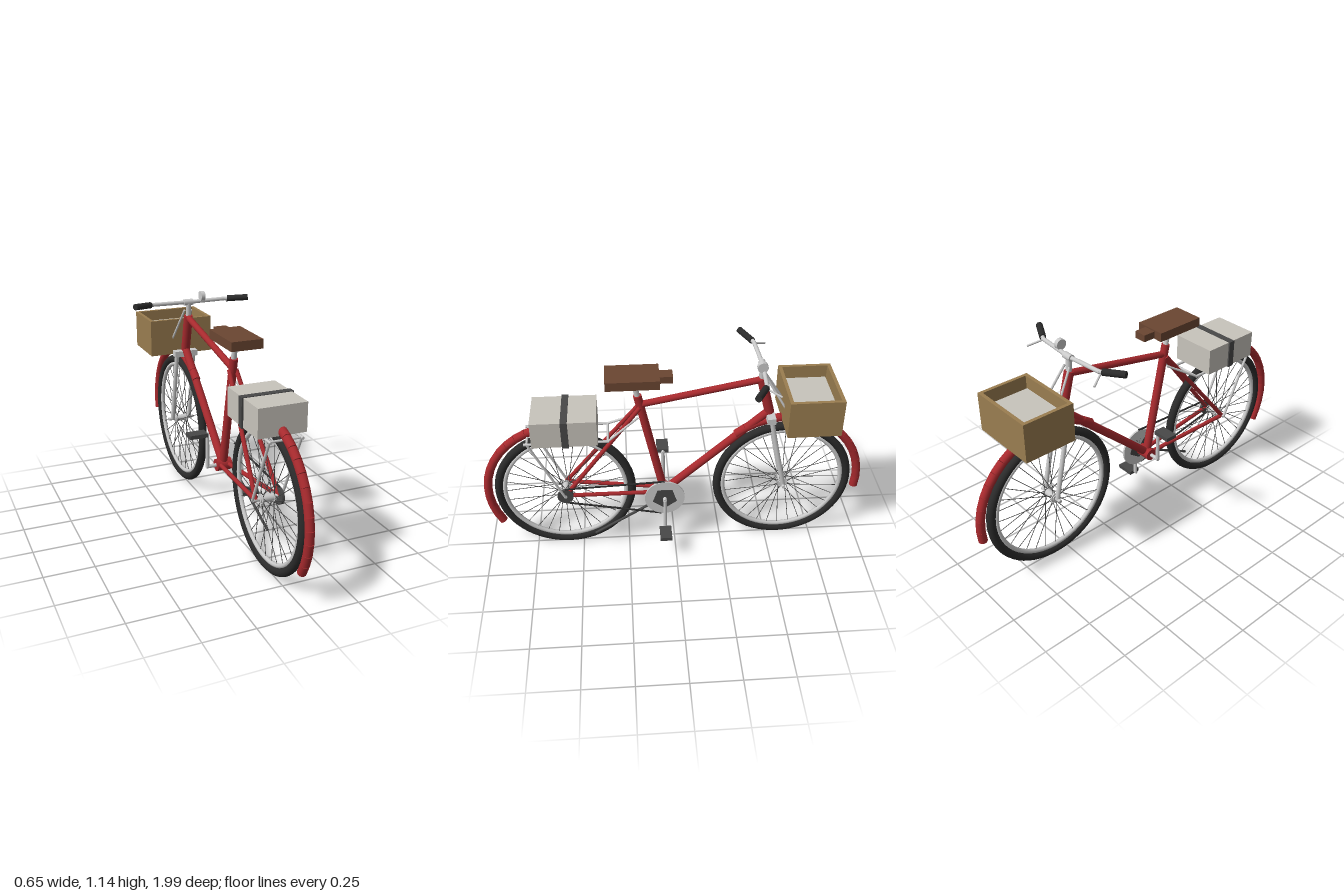
import * as THREE from 'three';

const mat = (color) => new THREE.MeshStandardMaterial({ color });
const RED = mat(0xa82a2e), METAL = mat(0xcccccc), BLACK = mat(0x2b2b2b), DARK = mat(0x484848);
const BROWN = mat(0x6b4632), TAN = mat(0x9a7d50), PALE = mat(0xc8c4bc);
const AXLE_Y = 0.37, WHEEL_Z = 0.572, BB = [0, 0.33, 0.055];

function add(parent, name, geometry, material, pos = [0, 0, 0]) {
  const mesh = new THREE.Mesh(geometry, material);
  mesh.name = name;
  mesh.position.set(...pos);
  parent.add(mesh);
  return mesh;
}

const box = (parent, name, size, pos, material) =>
  add(parent, name, new THREE.BoxGeometry(...size), material, pos);

// Round bar from point a to point b
function bar(parent, name, a, b, radius, material, sides = 12) {
  const start = new THREE.Vector3(...a), end = new THREE.Vector3(...b);
  const dir = end.clone().sub(start);
  const mesh = add(parent, name, new THREE.CylinderGeometry(radius, radius, dir.length(), sides), material);
  mesh.position.copy(start).add(end).multiplyScalar(0.5);
  mesh.quaternion.setFromUnitVectors(new THREE.Vector3(0, 1, 0), dir.normalize());
  return mesh;
}

// Disc with its axis along x
function disc(parent, name, radius, width, pos, material, sides = 32) {
  const geometry = new THREE.CylinderGeometry(radius, radius, width, sides).rotateZ(Math.PI / 2);
  return add(parent, name, geometry, material, pos);
}

// The same bar on both sides of the bicycle
function barPair(parent, name, a, b, radius, material, sides) {
  for (const s of [1, -1]) {
    bar(parent, name, [a[0] * s, a[1], a[2]], [b[0] * s, b[1], b[2]], radius, material, sides);
  }
}

function makeWheel(name, z) {
  const wheel = new THREE.Group();
  wheel.name = name;
  wheel.position.set(0, AXLE_Y, z);
  add(wheel, 'tyre', new THREE.TorusGeometry(0.346, 0.022, 12, 64).rotateY(Math.PI / 2), BLACK);
  add(wheel, 'rim', new THREE.TorusGeometry(0.317, 0.012, 8, 64).rotateY(Math.PI / 2), METAL);
  disc(wheel, 'hub', 0.018, 0.08, [0, 0, 0], METAL, 16);
  disc(wheel, 'axle', 0.009, 0.15, [0, 0, 0], METAL, 12);
  for (const s of [1, -1]) disc(wheel, 'hubFlange', 0.026, 0.006, [s * 0.032, 0, 0], METAL, 16);
  const count = 32;
  for (let i = 0; i < count; i++) {
    const a = (i / count) * Math.PI * 2;
    const b = a + (i % 4 < 2 ? 0.5 : -0.5);
    bar(wheel, 'spoke', [i % 2 ? 0.03 : -0.03, Math.sin(b) * 0.022, Math.cos(b) * 0.022],
      [0, Math.sin(a) * 0.312, Math.cos(a) * 0.312], 0.0017, DARK, 5);
  }
  return wheel;
}

// Mudguard as a chain of short tubes; dir is the side (+z or -z) where angle 0 lies
function makeMudguard(name, z, dir, fromDeg, toDeg, count) {
  const guard = new THREE.Group();
  guard.name = name;
  const point = (i) => {
    const a = THREE.MathUtils.degToRad(fromDeg + ((toDeg - fromDeg) * i) / count);
    return [0, AXLE_Y + 0.403 * Math.sin(a), z + dir * 0.403 * Math.cos(a)];
  };
  for (let i = 0; i < count; i++) bar(guard, 'mudguardSegment', point(i), point(i + 1), 0.022, RED, 14);
  return guard;
}

function makeFrame() {
  const frame = new THREE.Group();
  frame.name = 'frame';
  bar(frame, 'seatTube', BB, [0, 0.935, 0.182], 0.021, RED, 16);
  bar(frame, 'topTube', [0, 0.882, 0.17], [0, 1.0, -0.43], 0.017, RED, 16);
  bar(frame, 'headTube', [0, 1.01, -0.425], [0, 0.807, -0.477], 0.024, RED, 16);
  bar(frame, 'downTube', BB, [0, 0.81, -0.47], 0.021, RED, 16);
  barPair(frame, 'chainStay', [0.022, 0.335, 0.07], [0.06, AXLE_Y, WHEEL_Z], 0.011, RED);
  barPair(frame, 'seatStay', [0.018, 0.875, 0.17], [0.06, AXLE_Y, WHEEL_Z], 0.011, RED);
  disc(frame, 'bottomBracket', 0.032, 0.08, BB, RED, 20);
  return frame;
}

function makeSteering() {
  const g = new THREE.Group();
  g.name = 'steering';
  box(g, 'forkCrown', [0.13, 0.032, 0.042], [0, 0.787, -0.482], METAL);
  barPair(g, 'forkLeg', [0.048, 0.79, -0.482], [0.05, AXLE_Y, -WHEEL_Z], 0.012, METAL);
  bar(g, 'stem', [0, 1.0, -0.427], [0, 1.088, -0.422], 0.014, METAL);
  bar(g, 'stemClamp', [-0.025, 1.085, -0.425], [0.025, 1.085, -0.425], 0.017, METAL);
  barPair(g, 'handlebar', [0, 1.085, -0.425], [0.21, 1.09, -0.413], 0.0105, METAL);
  barPair(g, 'handlebarBend', [0.205, 1.09, -0.414], [0.315, 1.1, -0.357], 0.0105, METAL);
  barPair(g, 'grip', [0.22, 1.091, -0.406], [0.319, 1.1, -0.354], 0.0165, BLACK);
  barPair(g, 'brakeLever', [0.212, 1.083, -0.41], [0.25, 1.058, -0.478], 0.005, METAL, 8);
  disc(g, 'bell', 0.026, 0.022, [0.075, 1.115, -0.412], METAL, 24);
  return g;
}

function makeSaddle() {
  const g = new THREE.Group();
  g.name = 'saddle';
  bar(g, 'seatPost', [0, 0.92, 0.179], [0, 1.02, 0.2], 0.014, METAL);
  box(g, 'seat', [0.162, 0.046, 0.262], [0, 1.038, 0.204], BROWN);
  box(g, 'seatNose', [0.066, 0.036, 0.075], [0, 1.036, 0.046], BROWN);
  barPair(g, 'seatSpring', [0.045, 1.006, 0.22], [0.045, 1.01, 0.285], 0.008, METAL, 8);
  return g;
}

function makeDrivetrain() {
  const g = new THREE.Group();
  g.name = 'drivetrain';
  const [, y, z] = BB, x = 0.064;
  disc(g, 'chainring', 0.105, 0.01, [x, y, z], METAL, 40);
  disc(g, 'chainringSpider', 0.066, 0.014, [x + 0.002, y, z], DARK, 5).rotation.x = 0.3;
  disc(g, 'sprocket', 0.042, 0.014, [x, AXLE_Y, WHEEL_Z], DARK, 20);
  bar(g, 'chainTop', [x, y + 0.106, z], [x, AXLE_Y + 0.044, WHEEL_Z], 0.005, BLACK, 8);
  bar(g, 'chainBottom', [x, y - 0.106, z + 0.02], [x, AXLE_Y - 0.044, WHEEL_Z], 0.005, BLACK, 8);
  bar(g, 'crankAxle', [-0.095, y, z], [0.095, y, z], 0.01, METAL);
  for (const s of [1, -1]) {
    const py = y - s * 0.185;
    bar(g, 'crankArm', [s * 0.088, y, z], [s * 0.088, py, z], 0.01, METAL);
    bar(g, 'pedalAxle', [s * 0.08, py, z], [s * 0.12, py, z], 0.007, METAL);
    box(g, 'pedal', [0.095, 0.02, 0.062], [s * 0.143, py, z], DARK);
  }
  bar(g, 'kickstand', [0.05, 0.31, 0.08], [0.078, 0.113, 0.43], 0.007, DARK, 8);
  return g;
}

function makeRearRack() {
  const g = new THREE.Group();
  g.name = 'rearRack';
  barPair(g, 'rackRail', [0.078, 0.722, 0.33], [0.078, 0.722, 0.75], 0.007, METAL, 8);
  for (const z of [0.335, 0.44, 0.54, 0.64, 0.735]) {
    bar(g, 'rackCrossbar', [-0.078, 0.722, z], [0.078, 0.722, z], 0.006, METAL, 8);
  }
  barPair(g, 'rackLeg', [0.078, 0.722, 0.735], [0.076, AXLE_Y, WHEEL_Z], 0.007, METAL, 8);
  barPair(g, 'rackStrut', [0.078, 0.722, 0.335], [0.015, 0.815, 0.18], 0.006, METAL, 8);
  box(g, 'parcel', [0.24, 0.14, 0.322], [0, 0.8, 0.545], PALE);
  box(g, 'parcelStrap', [0.256, 0.146, 0.034], [0, 0.8, 0.541], DARK);
  return g;
}

function makeCrate() {
  const g = new THREE.Group();
  g.name = 'frontCrate';
  g.position.set(0, 0.77, -0.673);
  const w = 0.355, h = 0.197, d = 0.267, t = 0.018;
  box(g, 'crateFloor', [w, t, d], [0, t / 2, 0], TAN);
  for (const s of [1, -1]) {
    box(g, 'crateSide', [t, h, d], [s * (w - t) / 2, h / 2, 0], TAN);
    box(g, 'crateEnd', [w - 2 * t, h, t], [0, h / 2, s * (d - t) / 2], TAN);
  }
  box(g, 'crateParcel', [0.28, 0.125, 0.212], [0, 0.08, 0], PALE);
  return g;
}

export function createModel() {
  const bicycle = new THREE.Group();
  bicycle.name = 'bicycle';
  bicycle.add(
    makeWheel('rearWheel', WHEEL_Z),
    makeWheel('frontWheel', -WHEEL_Z),
    makeMudguard('rearMudguard', WHEEL_Z, 1, -30, 108, 16),
    makeMudguard('frontMudguard', -WHEEL_Z, -1, -9, 130, 16),
    makeFrame(), makeSteering(), makeSaddle(), makeDrivetrain(), makeRearRack(), makeCrate(),
  );
  // Struts holding the crate to the head tube
  barPair(bicycle, 'crateStrut', [0.018, 1.04, -0.435], [0.05, 0.86, -0.545], 0.006, METAL, 8);
  return bicycle;
}
